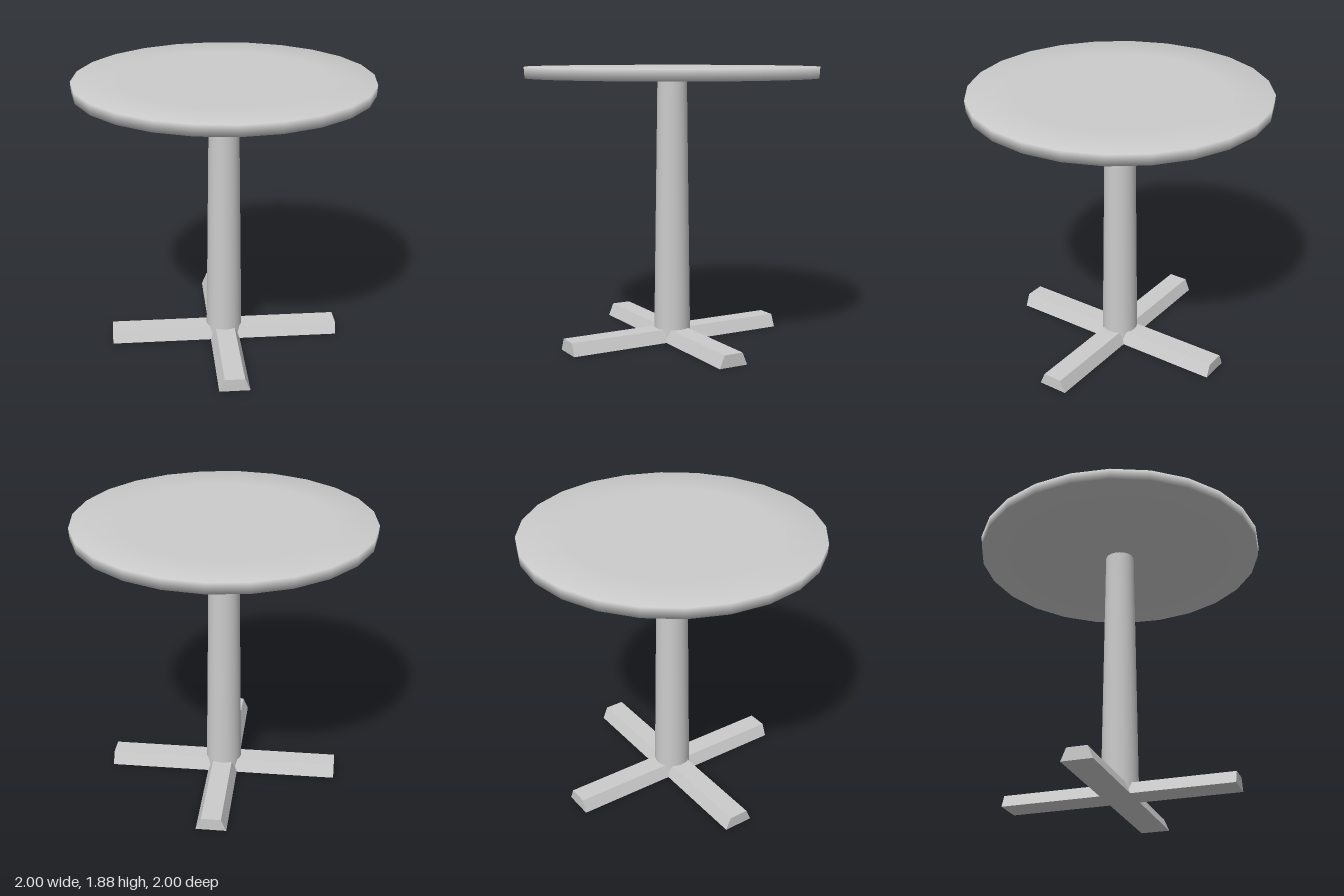
import * as THREE from 'three';

export function createModel() {
  const model = new THREE.Group();
  model.name = 'pedestalTable';
  const material = new THREE.MeshStandardMaterial({ color: 0xcccccc });

  const add = (name, geometry) => {
    const mesh = new THREE.Mesh(geometry, material);
    mesh.name = name;
    model.add(mesh);
    return mesh;
  };

  // Round top: flat centre, softly shaded rim, slight inward taper below
  const profile = [
    [0, 1.81], [0.7, 1.81], [0.995, 1.81],
    [1, 1.885], [0.7, 1.885], [0, 1.885],
  ].map(([r, y]) => new THREE.Vector2(r, y));
  add('tableTop', new THREE.LatheGeometry(profile, 24));

  // Tapered column
  const column = add('column', new THREE.CylinderGeometry(0.1, 0.126, 1.812, 24));
  column.position.y = 0.906;

  // Two crossed foot bars with sloping sides and upright ends
  const section = new THREE.Shape([
    new THREE.Vector2(-0.103, 0),
    new THREE.Vector2(0.103, 0),
    new THREE.Vector2(0.067, 0.085),
    new THREE.Vector2(-0.067, 0.085),
  ]);
  const length = 1.59;
  const barGeometry = new THREE.ExtrudeGeometry(section, { depth: length, bevelEnabled: false });
  barGeometry.translate(0, 0, -length / 2);
  for (const side of [-1, 1]) {
    const bar = add(side < 0 ? 'footBarRight' : 'footBarLeft', barGeometry);
    bar.rotation.y = side * Math.PI / 4;
  }

  return model;
}
